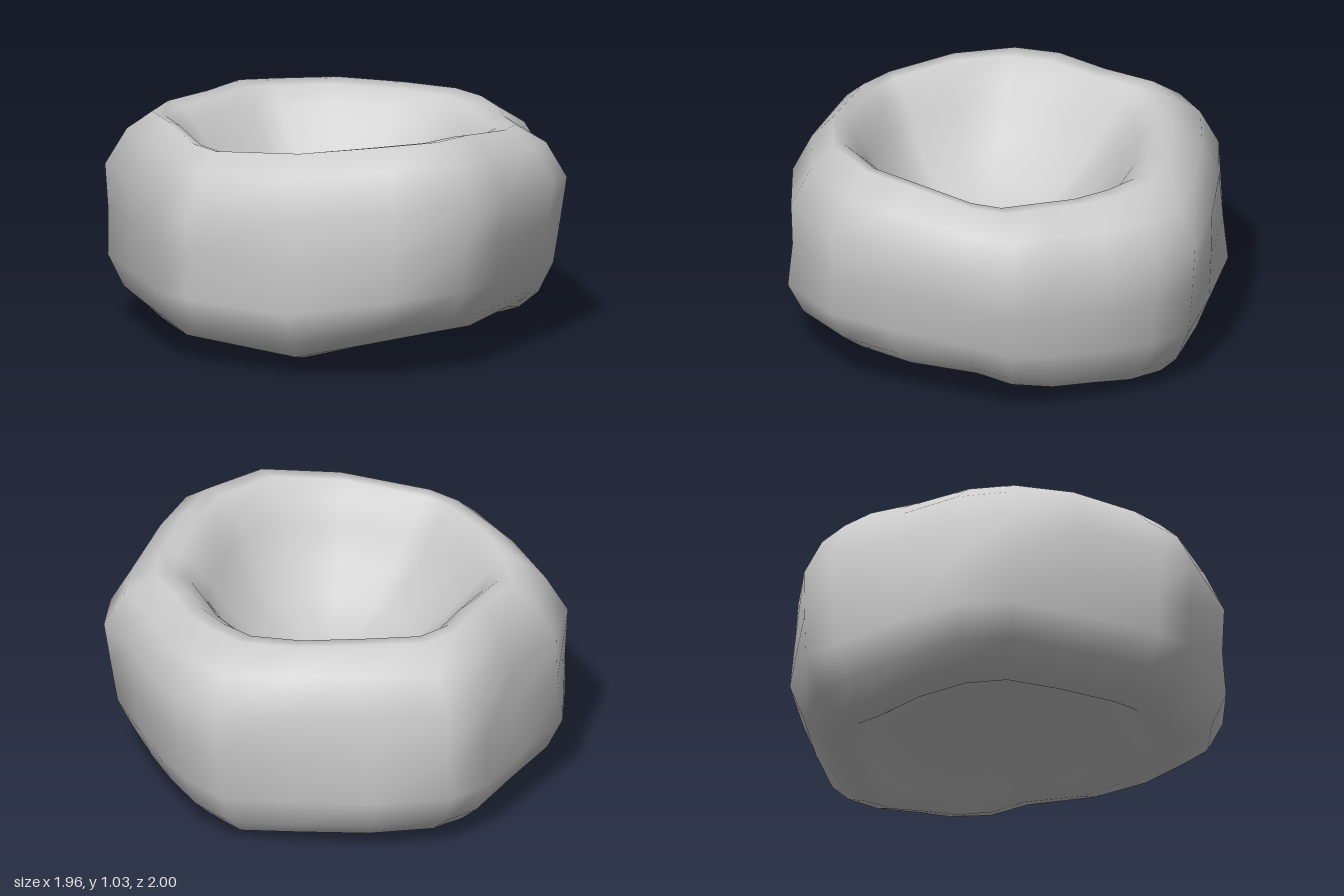
import * as THREE from 'three';

// Lumpy plan outline, from +x towards +z: [x, z, rim height, foot height, flare of the lower wall]
const columns = [
  [0.96, 0.05, 1.02, 0.12, 1.0], [0.97, 0.33, 1.03, 0.15, 1.04], [0.80, 0.65, 1.035, 0.13, 1.05],
  [0.42, 0.88, 1.0, 0.05, 1.04], [-0.08, 1.0, 0.97, 0.08, 1.0], [-0.28, 0.95, 0.975, 0.07, 1.0],
  [-0.60, 0.73, 1.0, 0.07, 1.0], [-0.90, 0.52, 0.98, 0.07, 1.0], [-0.97, 0.27, 0.98, 0.06, 1.04],
  [-0.92, -0.05, 0.98, 0.05, 1.06], [-0.95, -0.36, 0.98, 0.015, 1.0], [-0.85, -0.54, 0.97, 0.03, 1.03],
  [-0.55, -0.73, 0.98, 0.05, 1.08], [-0.22, -0.90, 0.97, 0.03, 1.02], [0.08, -1.0, 0.965, 0.0, 1.0],
  [0.30, -0.94, 0.965, 0.02, 1.0], [0.50, -0.82, 0.96, 0.05, 1.0], [0.66, -0.66, 0.96, 0.06, 1.02],
  [0.86, -0.53, 0.965, 0.10, 1.0], [0.92, -0.35, 0.975, 0.14, 1.0],
];

// Cross-section from bowl floor, over the rim, down the wall, into the hollow base:
// [radius factor, height as a fraction from foot (0) to rim (1), x shift, z shift, share of flare]
const section = [
  [0.18, 0.43, 0.05, 0.10, 0], [0.35, 0.52, 0.04, 0.09, 0], [0.48, 0.655, 0.03, 0.08, 0],
  [0.575, 0.80, 0.01, 0.07, 0], [0.645, 0.91, 0, 0.06, 0], [0.72, 0.98, 0, 0.05, 0],
  [0.79, 0.995, 0, 0.025, 0], [0.91, 0.90, 0, 0, 0], [1.0, 0.72, 0, 0, 0],
  [0.98, 0.50, -0.01, 0, 0.4], [0.965, 0.27, -0.02, 0.015, 1], [0.90, 0.115, -0.02, 0.015, 1],
  [0.81, 0.03, -0.02, 0.01, 1], [0.71, 0, -0.01, 0, 0.7], [0.62, 0.065, 0, 0, 0.3],
  [0.46, 0.145, 0, 0, 0], [0.22, 0.19, 0, 0, 0],
];

function createBody() {
  const sides = columns.length;
  const rings = section.length;
  const positions = [];
  const index = [];
  for (const [r, h, dx, dz, share] of section) {
    // towards the middle the unevenness fades out
    const k = Math.min(1, r / 0.7);
    for (const [x, z, rim, base, flare] of columns) {
      const length = Math.hypot(x, z);
      const scale = r * (1 + (length - 1) * r) / length * (1 + (flare - 1) * share);
      const top = THREE.MathUtils.lerp(0.985, rim, k);
      const foot = THREE.MathUtils.lerp(0.07, base, k);
      positions.push(x * scale + dx, foot + (top - foot) * h, z * scale + dz);
    }
  }
  // centres of the bowl floor and of the hollow base
  const floor = rings * sides;
  positions.push(0.05, 0.445, 0.1, 0, 0.255, 0);
  for (let i = 0; i < sides; i++) {
    const n = (i + 1) % sides;
    index.push(floor, n, i);
    for (let j = 0; j < rings - 1; j++) {
      const a = j * sides + i, b = j * sides + n;
      index.push(a, b, b + sides, a, b + sides, a + sides);
    }
    const last = (rings - 1) * sides;
    index.push(floor + 1, last + i, last + n);
  }
  const geometry = new THREE.BufferGeometry();
  geometry.setAttribute('position', new THREE.Float32BufferAttribute(positions, 3));
  geometry.setIndex(index);
  geometry.computeVertexNormals();
  return geometry;
}

export function createModel() {
  const group = new THREE.Group();
  group.name = 'roughBowl';
  const body = new THREE.Mesh(createBody(), new THREE.MeshStandardMaterial({ color: 0xcccccc }));
  body.name = 'bowlBody';
  group.add(body);
  return group;
}
